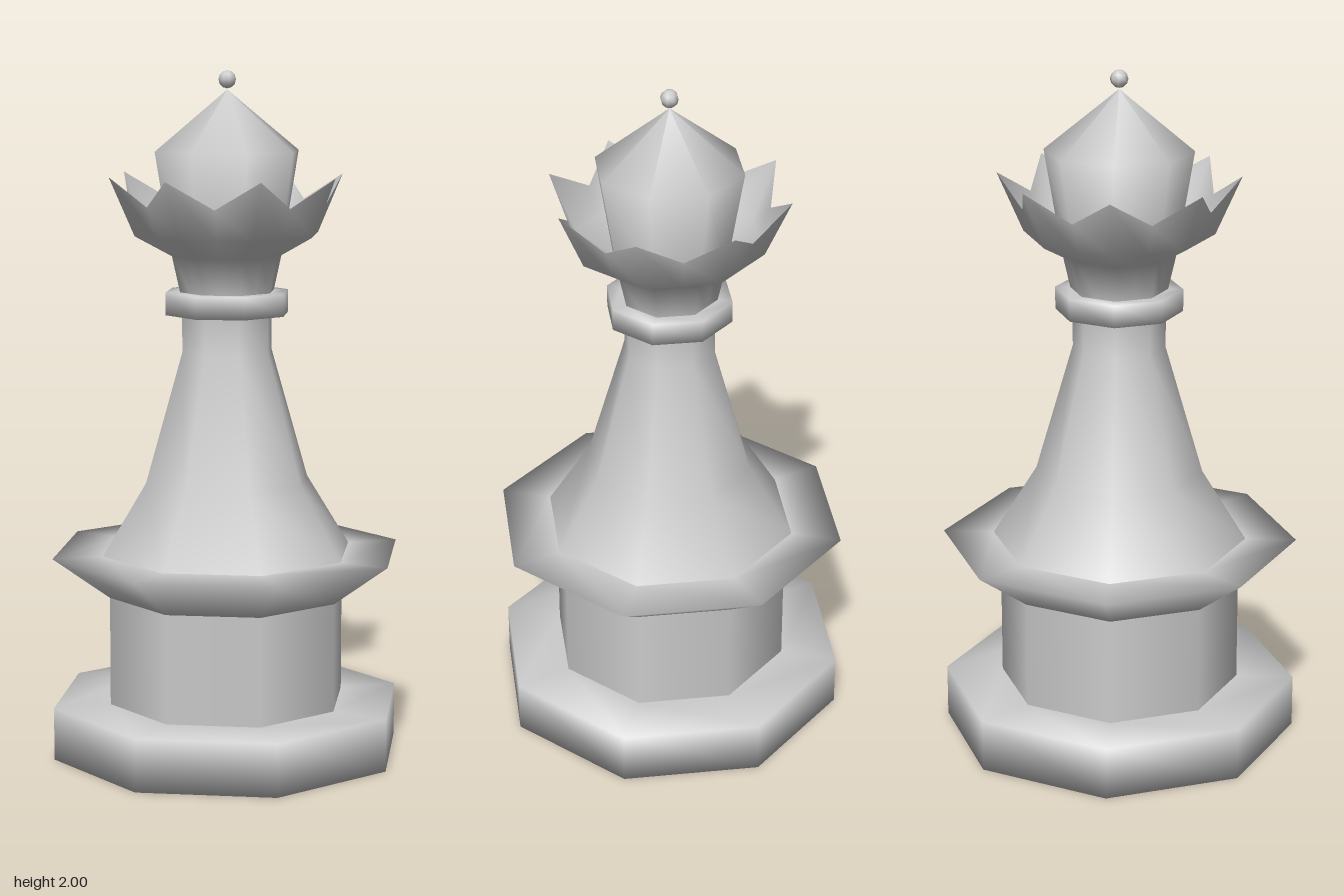
import * as THREE from 'three';
import { mergeVertices } from 'three/addons/utils/BufferGeometryUtils.js';

const SIDES = 8;
const material = new THREE.MeshStandardMaterial({ color: 0xcccccc, side: THREE.DoubleSide });

const toPoints = (profile) => profile.map(([r, y]) => new THREE.Vector2(r, y));

// Smooth eight-sided turned part; the profile is [radius, height] from bottom to top
function turned(name, profile) {
  const mesh = new THREE.Mesh(new THREE.LatheGeometry(toPoints(profile), SIDES), material);
  mesh.name = name;
  return mesh;
}

// Open flared bowl whose rim alternates between tall tips and low valleys
function makeCrown() {
  const profile = [[0.14, 1.36], [0.165, 1.47], [0.275, 1.53], [0.35, 1.70]];
  const rim = profile.length - 1;
  let geometry = new THREE.LatheGeometry(toPoints(profile), SIDES * 2);
  const pos = geometry.attributes.position;
  for (let i = 0; i < pos.count; i++) {
    const column = Math.floor(i / profile.length);
    const row = i % profile.length;
    if (column % 2 === 0) continue;
    // Odd columns lie on the flat of the octagon; at the rim they drop to a valley
    const scale = row === rim ? 0.287 / 0.35 : Math.cos(Math.PI / SIDES);
    pos.setX(i, pos.getX(i) * scale);
    pos.setZ(i, pos.getZ(i) * scale);
    if (row === rim) pos.setY(i, 1.62);
  }
  geometry.deleteAttribute('normal');
  geometry.deleteAttribute('uv');
  geometry = mergeVertices(geometry, 1e-4);
  geometry.computeVertexNormals();
  const mesh = new THREE.Mesh(geometry, material);
  mesh.name = 'crown';
  return mesh;
}

export function createModel() {
  const model = new THREE.Group();
  model.name = 'chessQueen';

  model.add(
    turned('base', [[0, 0], [0.525, 0], [0.525, 0.155], [0.355, 0.155]]),
    turned('drum', [[0.355, 0.155], [0.355, 0.475]]),
    turned('skirt', [[0.355, 0.475], [0.525, 0.60], [0.375, 0.60]]),
    turned('body', [[0.375, 0.60], [0.245, 0.81], [0.135, 1.19], [0.135, 1.30]]),
    turned('collar', [[0.135, 1.30], [0.185, 1.30], [0.185, 1.365], [0.14, 1.365]]),
    makeCrown(),
    turned('dome', [[0.165, 1.47], [0.215, 1.77], [0, 1.945]]),
  );

  // Small ball on the tip
  const finial = new THREE.Mesh(new THREE.SphereGeometry(0.026, 8, 6), material);
  finial.name = 'finial';
  finial.position.y = 1.974;
  model.add(finial);

  return model;
}
